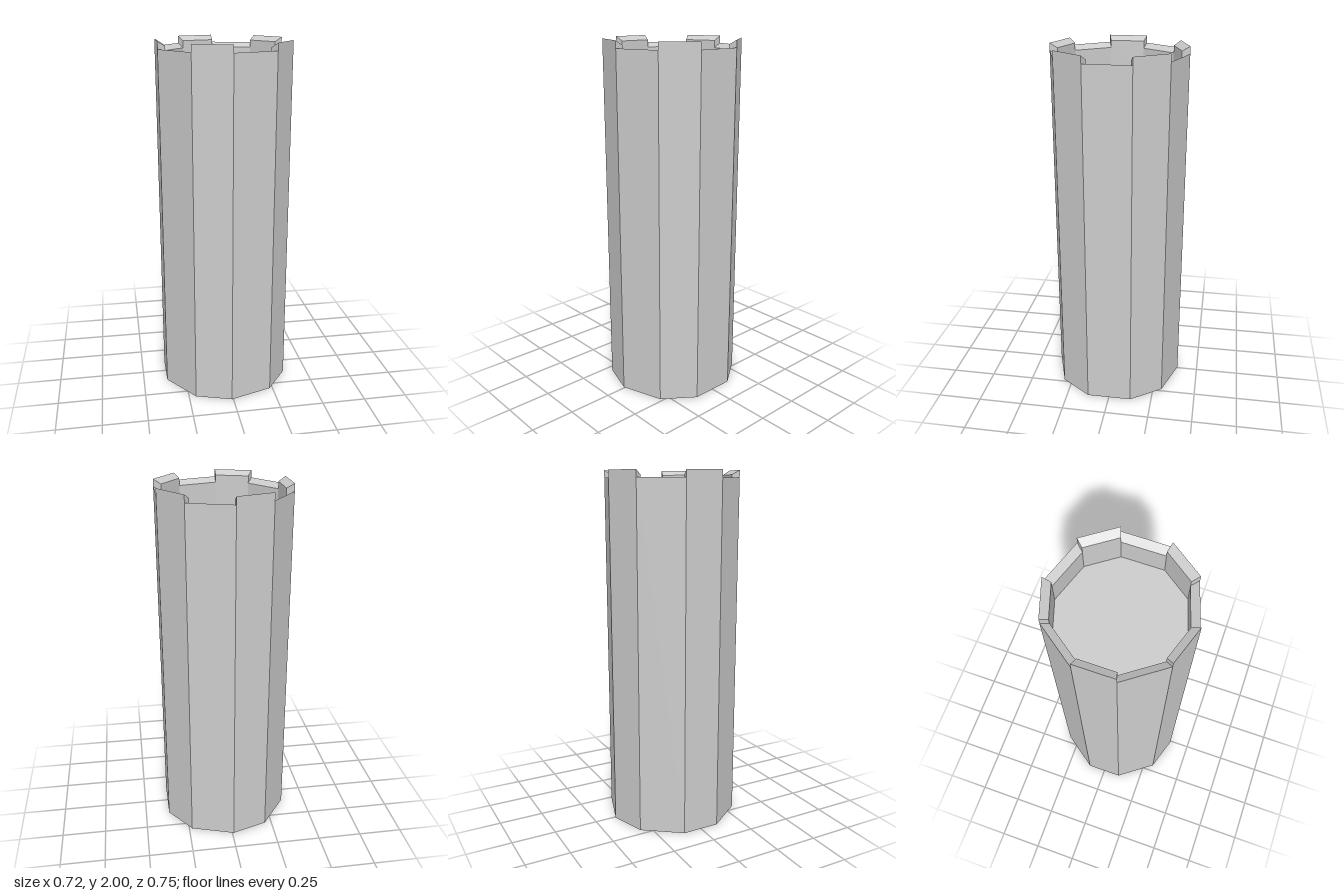
import * as THREE from 'three';

// Slightly irregular ten-sided plan, clockwise seen from above: [x, z]
const PLAN = [
  [-0.008, -0.379], [0.233, -0.301], [0.359, -0.128], [0.359, 0.126], [0.233, 0.299],
  [-0.008, 0.376], [-0.21, 0.311], [-0.36, 0.106], [-0.36, -0.108], [-0.21, -0.314],
];
const INNER = 0.885;   // inner face of the parapet, as a share of the plan
const TOP = 2, NOTCH = 1.96, FLOOR = 1.8;
const SLOPE = 0.025;   // parapet tops fall inward

const outer = (i, y) => [PLAN[i % 10][0], y, PLAN[i % 10][1]];
const inner = (i, y) => [PLAN[i % 10][0] * INNER, y, PLAN[i % 10][1] * INNER];

// Mesh from a list of convex polygons, corners counter-clockwise from the front
function facetMesh(name, polygons) {
  const pos = [];
  for (const p of polygons)
    for (let k = 1; k < p.length - 1; k++) pos.push(...p[0], ...p[k], ...p[k + 1]);
  const geo = new THREE.BufferGeometry();
  geo.setAttribute('position', new THREE.Float32BufferAttribute(pos, 3));
  geo.computeVertexNormals();
  const mat = new THREE.MeshStandardMaterial({ color: 0xcccccc, flatShading: true });
  const mesh = new THREE.Mesh(geo, mat);
  mesh.name = name;
  return mesh;
}

export function createModel() {
  const tower = new THREE.Group();
  tower.name = 'tower';
  const walls = [], parapetTops = [], parapetInside = [], cheeks = [];

  for (let i = 0; i < 10; i++) {
    const j = i + 1;
    const merlon = i % 2 === 0 ? false : true;
    const y = merlon ? TOP : NOTCH;
    walls.push([outer(i, 0), outer(i, y), outer(j, y), outer(j, 0)]);
    parapetTops.push([outer(i, y), inner(i, y - SLOPE), inner(j, y - SLOPE), outer(j, y)]);
    parapetInside.push([inner(i, y - SLOPE), inner(i, FLOOR), inner(j, FLOOR), inner(j, y - SLOPE)]);

    // Sides of each raised section
    if (merlon) {
      const side = (k) => [outer(k, NOTCH), inner(k, NOTCH - SLOPE), inner(k, TOP - SLOPE), outer(k, TOP)];
      cheeks.push(side(i), side(j).reverse());
    }
  }

  const ring = [...PLAN.keys()];
  tower.add(
    facetMesh('outerWall', walls),
    facetMesh('parapetTop', parapetTops),
    facetMesh('parapetInside', parapetInside),
    facetMesh('merlonSides', cheeks),
    facetMesh('roofFloor', [ring.map((i) => inner(i, FLOOR)).reverse()]),
    facetMesh('base', [ring.map((i) => outer(i, 0))]),
  );
  return tower;
}
